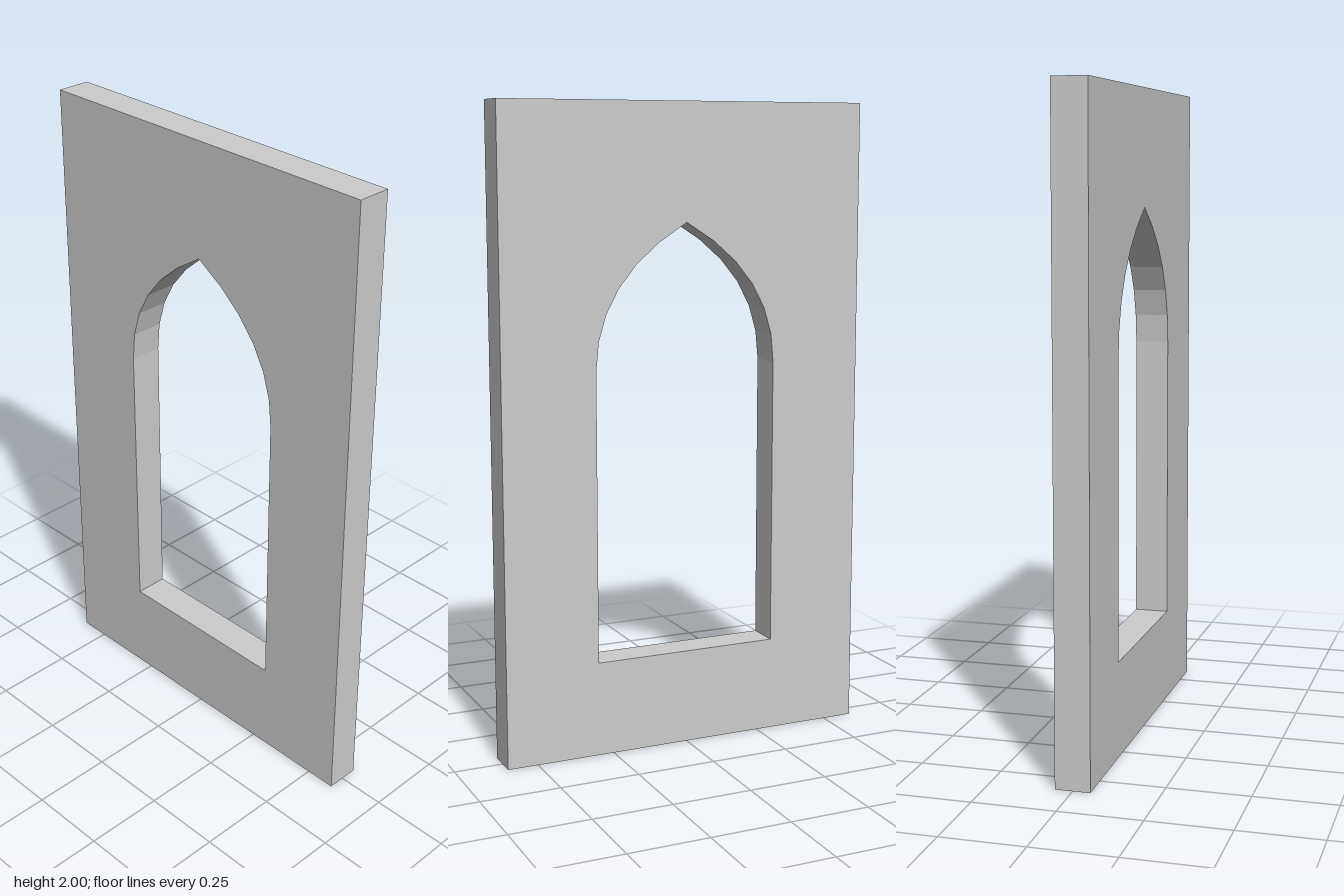
import * as THREE from 'three';

const HALF_WIDTH = 0.597, HEIGHT = 2, DEPTH = 0.106;
const HOLE = { half: 0.298, sill: 0.297, spring: 1.2, shoulder: 1.475, apex: 1.64 };

export function createModel() {
  const group = new THREE.Group();
  group.name = 'archedWindowWall';

  // Rectangular wall panel
  const wall = new THREE.Shape();
  wall.moveTo(-HALF_WIDTH, 0);
  wall.lineTo(HALF_WIDTH, 0);
  wall.lineTo(HALF_WIDTH, HEIGHT);
  wall.lineTo(-HALF_WIDTH, HEIGHT);
  wall.closePath();

  // Pointed arch opening
  const { half, sill, spring, shoulder, apex } = HOLE;
  const opening = new THREE.Path();
  opening.moveTo(-half, sill);
  opening.lineTo(-half, spring);
  opening.quadraticCurveTo(-half, shoulder, 0, apex);
  opening.quadraticCurveTo(half, shoulder, half, spring);
  opening.lineTo(half, sill);
  opening.closePath();
  wall.holes.push(opening);

  const geometry = new THREE.ExtrudeGeometry(wall, {
    depth: DEPTH, bevelEnabled: false, curveSegments: 6,
  });
  geometry.translate(0, 0, -DEPTH / 2);

  const material = new THREE.MeshStandardMaterial({ color: 0xcccccc, flatShading: true });
  const mesh = new THREE.Mesh(geometry, material);
  mesh.name = 'wallPanel';
  group.add(mesh);
  return group;
}
